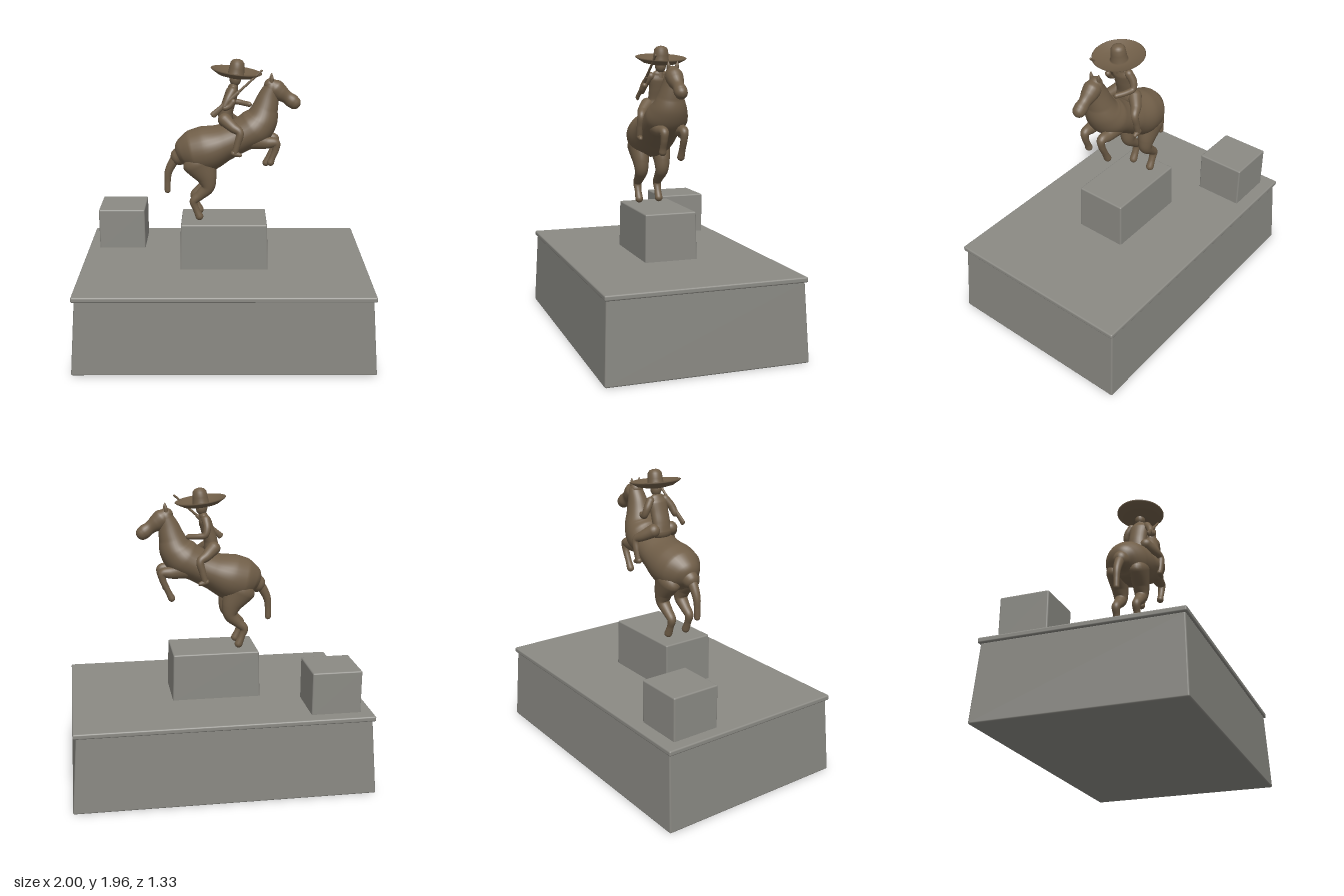
import * as THREE from 'three';
import { RoundedBoxGeometry } from 'three/addons/geometries/RoundedBoxGeometry.js';

const stone = new THREE.MeshStandardMaterial({ color: 0x8b8a84 });
stone.name = 'stone';
const bronze = new THREE.MeshStandardMaterial({ color: 0x705e48 });
bronze.name = 'bronze';

// Smooth limb with round ends; each station is [x, y, z, radius, half width]
function loft(stations, steps = 40, sides = 24) {
  const path = new THREE.CatmullRomCurve3(stations.map(s => new THREE.Vector3(s[0], s[1], s[2])));
  const size = new THREE.CatmullRomCurve3(stations.map(s => new THREE.Vector3(s[3], s[4] ?? s[3], 0)));
  const rings = [];
  const addRing = (t, shift, scale) => {
    const dir = path.getTangent(t);
    const s = size.getPoint(t);
    const centre = path.getPoint(t).addScaledVector(dir, shift * Math.min(s.x, s.y));
    rings.push({ dir, centre, r: s.x * scale, w: s.y * scale });
  };
  const capSteps = 6;
  for (let i = 0; i < capSteps; i++) {
    const a = (i / capSteps) * Math.PI / 2;
    addRing(0, -Math.cos(a), Math.max(Math.sin(a), 0.01));
  }
  for (let i = 0; i <= steps; i++) addRing(i / steps, 0, 1);
  for (let i = 1; i <= capSteps; i++) {
    const a = (i / capSteps) * Math.PI / 2;
    addRing(1, Math.sin(a), Math.max(Math.cos(a), 0.01));
  }
  const pos = [], index = [];
  rings.forEach(({ dir, centre, r, w }, i) => {
    const n = new THREE.Vector3(-dir.y, dir.x, 0).normalize();
    const b = new THREE.Vector3().crossVectors(dir, n);
    for (let j = 0; j < sides; j++) {
      const a = (j / sides) * Math.PI * 2;
      const p = centre.clone().addScaledVector(n, r * Math.cos(a)).addScaledVector(b, w * Math.sin(a));
      pos.push(p.x, p.y, p.z);
      if (i === rings.length - 1) continue;
      const k = (j + 1) % sides, p0 = i * sides, p1 = p0 + sides;
      index.push(p0 + j, p0 + k, p1 + j, p0 + k, p1 + k, p1 + j);
    }
  });
  const geo = new THREE.BufferGeometry();
  geo.setAttribute('position', new THREE.Float32BufferAttribute(pos, 3));
  geo.setIndex(index);
  geo.computeVertexNormals();
  return geo;
}

function add(parent, name, geo, mat = bronze) {
  const mesh = new THREE.Mesh(geo, mat);
  mesh.name = name;
  parent.add(mesh);
  return mesh;
}

// Softly edged block between two heights, narrowing towards the top
function block(w, d, y0, y1, topX = 1, topZ = topX) {
  const h = y1 - y0;
  const geo = new RoundedBoxGeometry(w, h, d, 3, 0.01);
  const p = geo.attributes.position;
  for (let i = 0; i < p.count; i++) {
    const t = p.getY(i) / h + 0.5;
    p.setX(i, p.getX(i) * (1 + (topX - 1) * t));
    p.setZ(i, p.getZ(i) * (1 + (topZ - 1) * t));
  }
  geo.translate(0, (y0 + y1) / 2, 0);
  return geo;
}

function buildHorse() {
  const horse = new THREE.Group();
  horse.name = 'horse';
  add(horse, 'horseBody', loft([
    [-0.305, 1.30, 0, 0.06, 0.055], [-0.275, 1.315, 0, 0.105, 0.10], [-0.21, 1.335, 0, 0.145, 0.15],
    [-0.12, 1.355, 0, 0.155, 0.165], [0, 1.40, 0, 0.125, 0.155], [0.11, 1.45, 0, 0.115, 0.145],
    [0.20, 1.50, 0, 0.125, 0.143], [0.25, 1.56, 0, 0.112, 0.12], [0.275, 1.635, 0, 0.087, 0.088],
    [0.295, 1.71, 0, 0.07, 0.066], [0.315, 1.775, 0, 0.05, 0.052],
  ], 80, 32));
  add(horse, 'horseHead', loft([
    [0.31, 1.79, 0, 0.045, 0.045], [0.34, 1.765, 0, 0.062, 0.058], [0.375, 1.737, 0, 0.056, 0.052],
    [0.42, 1.705, 0, 0.043, 0.038], [0.452, 1.682, 0, 0.047, 0.043], [0.468, 1.67, 0, 0.044, 0.042],
  ]));
  add(horse, 'tail', loft([
    [-0.29, 1.33, 0, 0.04], [-0.345, 1.26, 0, 0.032], [-0.378, 1.19, 0, 0.026],
    [-0.385, 1.12, 0, 0.021], [-0.386, 1.06, 0, 0.02],
  ]));

  for (const s of [1, -1]) {
    const side = s > 0 ? 'Right' : 'Left';
    add(horse, 'hindLeg' + side, loft([
      [-0.17, 1.28, s * 0.08, 0.11, 0.07], [-0.115, 1.17, s * 0.077, 0.066, 0.055],
      [-0.11, 1.105, s * 0.075, 0.046, 0.045], [-0.16, 1.05, s * 0.073, 0.034, 0.036],
      [-0.205, 1.005, s * 0.073, 0.028, 0.03], [-0.19, 0.95, s * 0.073, 0.022, 0.024],
      [-0.168, 0.897, s * 0.073, 0.027, 0.027],
    ], 60));
    // Forelegs are folded to slightly different heights
    const drop = s > 0 ? 0 : 0.04, back = s > 0 ? 0 : 0.025;
    add(horse, 'foreLeg' + side, loft([
      [0.20, 1.43, s * 0.07, 0.06, 0.05], [0.28, 1.415, s * 0.07, 0.042, 0.038],
      [0.345, 1.41, s * 0.068, 0.03, 0.03], [0.345, 1.365, s * 0.068, 0.023, 0.024],
      [0.325 - back / 2, 1.31 - drop / 2, s * 0.068, 0.02, 0.022],
      [0.313 - back, 1.278 - drop, s * 0.068, 0.024, 0.025],
    ], 50));
    add(horse, 'ear' + side, loft([
      [0.312, 1.81, s * 0.025, 0.015], [0.315, 1.838, s * 0.029, 0.012], [0.315, 1.86, s * 0.031, 0.004],
    ], 12, 12));
  }
  return horse;
}

function buildRider() {
  const rider = new THREE.Group();
  rider.name = 'rider';
  add(rider, 'torso', loft([
    [0.01, 1.555, 0, 0.05, 0.085], [0.015, 1.61, 0, 0.045, 0.065], [0.035, 1.68, 0, 0.044, 0.065],
    [0.052, 1.74, 0, 0.042, 0.07], [0.062, 1.775, 0, 0.028, 0.05],
  ]));
  add(rider, 'neck', new THREE.CylinderGeometry(0.022, 0.026, 0.08, 16)).position.set(0.068, 1.79, 0);
  const head = add(rider, 'riderHead', new THREE.SphereGeometry(0.043, 24, 16));
  head.position.set(0.075, 1.83, 0);
  head.scale.set(0.9, 1.1, 0.85);

  // Wide hat with an upturned brim, tipped forward
  const hatProfile = [[0, -0.03], [0.06, -0.028], [0.12, -0.015], [0.165, 0.012], [0.171, 0.018], [0.165, 0.021],
    [0.12, -0.002], [0.062, -0.014], [0.055, -0.008], [0.05, 0.035], [0.046, 0.07], [0.034, 0.086], [0.016, 0.093], [0, 0.094]];
  const hat = add(rider, 'hat', new THREE.LatheGeometry(hatProfile.map(p => new THREE.Vector2(...p)), 48));
  hat.position.set(0.08, 1.867, 0);
  hat.rotation.z = -0.13;

  for (const s of [1, -1]) {
    const side = s > 0 ? 'Right' : 'Left';
    add(rider, 'riderLeg' + side, loft([
      [0.005, 1.57, s * 0.07, 0.045], [0.06, 1.53, s * 0.12, 0.035], [0.103, 1.50, s * 0.143, 0.027],
      [0.09, 1.43, s * 0.148, 0.023], [0.073, 1.365, s * 0.147, 0.02],
    ]));
    add(rider, 'boot' + side, loft([
      [0.065, 1.362, s * 0.147, 0.02], [0.085, 1.356, s * 0.148, 0.018], [0.105, 1.35, s * 0.15, 0.014],
    ], 10, 16));
  }
  add(rider, 'rifleArm', loft([
    [0.055, 1.76, 0.06, 0.028], [0.025, 1.71, 0.092, 0.025], [0.005, 1.66, 0.108, 0.021],
    [0.035, 1.67, 0.112, 0.018], [0.06, 1.70, 0.108, 0.019],
  ]));
  add(rider, 'reinArm', loft([
    [0.055, 1.76, -0.06, 0.028], [0.05, 1.71, -0.09, 0.025], [0.065, 1.665, -0.1, 0.021],
    [0.11, 1.655, -0.085, 0.018], [0.17, 1.648, -0.05, 0.017],
  ]));

  // Rifle: flat stock below, thin barrel above
  add(rider, 'rifleStock', loft([
    [-0.072, 1.612, 0.115, 0.021, 0.011], [-0.01, 1.667, 0.11, 0.017, 0.011], [0.09, 1.757, 0.103, 0.013, 0.01],
  ], 16, 12));
  add(rider, 'rifleBarrel', loft([
    [0.05, 1.722, 0.106, 0.009], [0.15, 1.812, 0.099, 0.008], [0.245, 1.9, 0.092, 0.007],
  ], 10, 12));
  return rider;
}

export function createModel() {
  const model = new THREE.Group();
  model.name = 'equestrianMonument';

  // Plinth, pedestal and side block
  add(model, 'plinth', block(2.0, 1.33, 0, 0.52, 0.96, 0.965), stone);
  add(model, 'plinthSlab', block(1.96, 1.31, 0.513, 0.548), stone);
  add(model, 'pedestal', block(0.6, 0.365, 0.53, 0.868, 0.97), stone);
  add(model, 'sideBlock', block(0.33, 0.33, 0.53, 0.835), stone).position.set(-0.735, 0, -0.4);

  model.add(buildHorse(), buildRider());
  return model;
}
